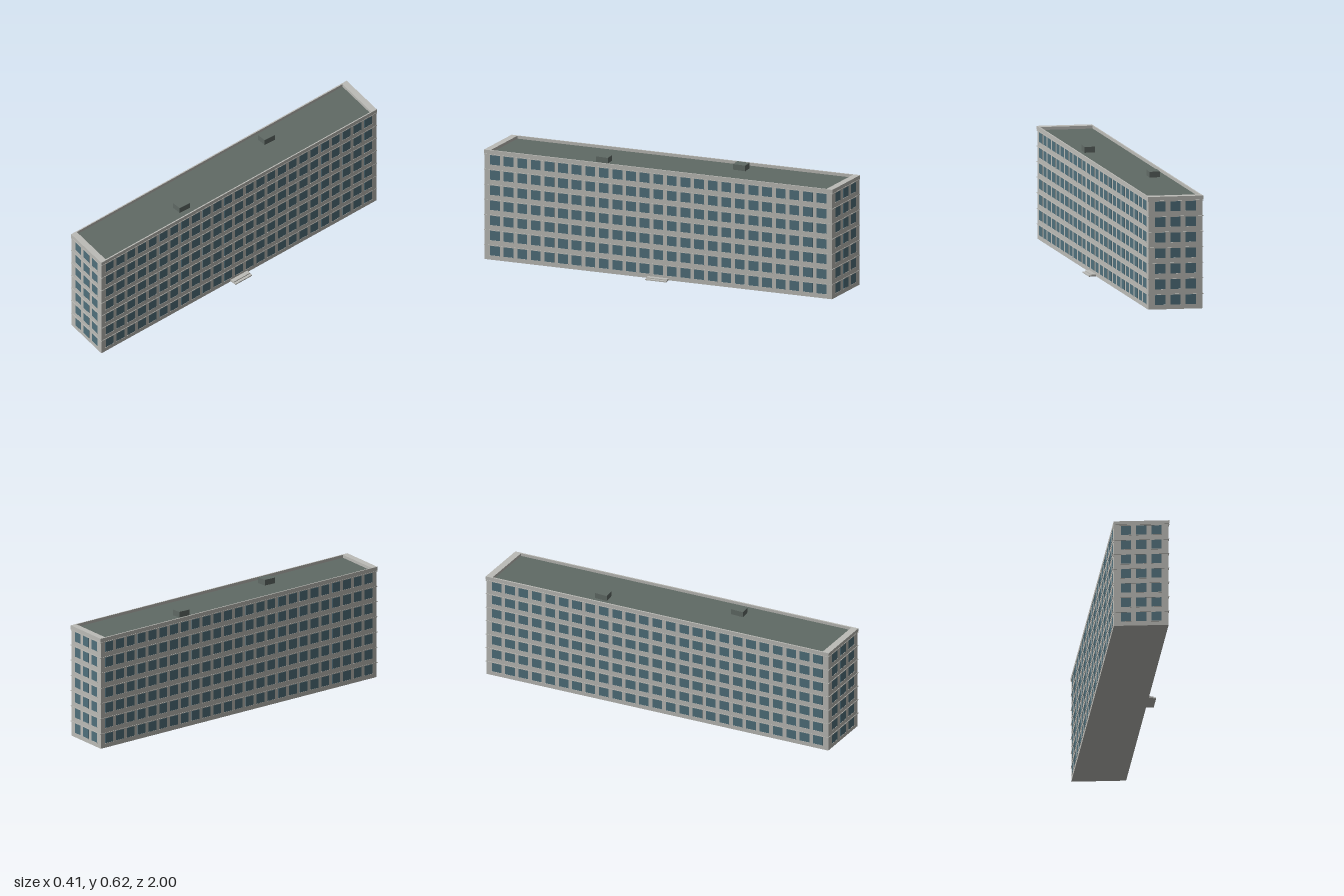
import * as THREE from 'three';
import { mergeGeometries } from 'three/addons/utils/BufferGeometryUtils.js';

// Skewed footprint of the walls, [x, z], anticlockwise seen from above
const FOOT = [[-0.088, 0.966], [0.201, 0.997], [0.088, -0.966], [-0.201, -0.997]];
const FLOORS = 7, PITCH = 0.0842;
const WINDOW_H = 0.0525, FIRST_SILL = 0.025;

const scaled = (sx, sz) => FOOT.map(([x, z]) => new THREE.Vector2(x * sx, -z * sz));

// Upright prism over the footprint, optionally hollow
function prism(outer, y0, y1, inner) {
  const shape = new THREE.Shape(outer);
  if (inner) shape.holes.push(new THREE.Path(inner));
  const g = new THREE.ExtrudeGeometry(shape, { depth: y1 - y0, bevelEnabled: false });
  return g.rotateX(-Math.PI / 2).translate(0, y0, 0);
}

// Box lying against one facade: u runs along the wall, out is its centre's distance from it
function onWall(side, u, y, out, w, h, d) {
  const [px, pz] = FOOT[side], [qx, qz] = FOOT[(side + 1) % 4];
  const angle = Math.atan2(pz - qz, qx - px);
  return new THREE.BoxGeometry(w, h, d)
    .translate(u, y, out)
    .rotateY(angle)
    .translate((px + qx) / 2, 0, (pz + qz) / 2);
}

export function createModel() {
  const model = new THREE.Group();
  model.name = 'apartmentBlock';
  const material = (name, color) => {
    const m = new THREE.MeshStandardMaterial({ color });
    m.name = name;
    return m;
  };
  const wall = material('paleConcrete', 0xbcbcb7);
  const glass = material('blueGlass', 0x50707c);
  const roofing = material('greyGreenRoofing', 0x606a65);
  const add = (name, geometry, mat) => {
    const mesh = new THREE.Mesh(geometry, mat);
    mesh.name = name;
    model.add(mesh);
  };

  // Main body, roof and parapet
  add('walls', prism(scaled(1, 1), 0, 0.591), wall);
  add('roof', prism(scaled(0.97, 0.97), 0.585, 0.594), roofing);
  add('parapet', prism(scaled(1.015, 1.003), 0.59, 0.61, scaled(0.965, 0.966)), wall);

  // Thin ledges between the floors
  const ledges = [];
  for (let f = 0; f < FLOORS; f++) {
    const y = 0.0785 + f * PITCH;
    ledges.push(prism(scaled(1.015, 1.003), y, y + 0.004, scaled(0.98, 0.98)));
  }
  add('floorLedges', mergeGeometries(ledges), wall);

  // Windows and sills on the two ends (even sides) and two long facades (odd sides)
  const panes = [], sills = [];
  for (let side = 0; side < 4; side++) {
    const end = side % 2 === 0;
    const count = end ? 3 : 25, step = end ? 0.0815 : 0.077, width = end ? 0.054 : 0.055;
    for (let f = 0; f < FLOORS; f++) {
      const y = FIRST_SILL + f * PITCH;
      for (let i = 0; i < count; i++) {
        const u = (i - (count - 1) / 2) * step;
        panes.push(onWall(side, u, y + WINDOW_H / 2, 0, width, WINDOW_H, 0.002));
        sills.push(onWall(side, u, y - 0.0015, 0.0005, width + 0.004, 0.003, 0.004));
      }
    }
  }
  add('windows', mergeGeometries(panes), glass);
  add('windowSills', mergeGeometries(sills), wall);

  // Rooftop housings
  [[-0.09, -0.362], [0.084, 0.357]].forEach(([x, z], i) => {
    add('roofHousing' + (i + 1),
      new THREE.BoxGeometry(0.056, 0.035, 0.07).translate(x, 0.6075, z), roofing);
  });

  // Two low entrance steps on the +x facade
  add('lowerStep', onWall(1, 0, 0.003, 0.02, 0.118, 0.006, 0.04), wall);
  add('upperStep', onWall(1, 0, 0.0085, 0.0125, 0.118, 0.005, 0.025), wall);

  return model;
}
